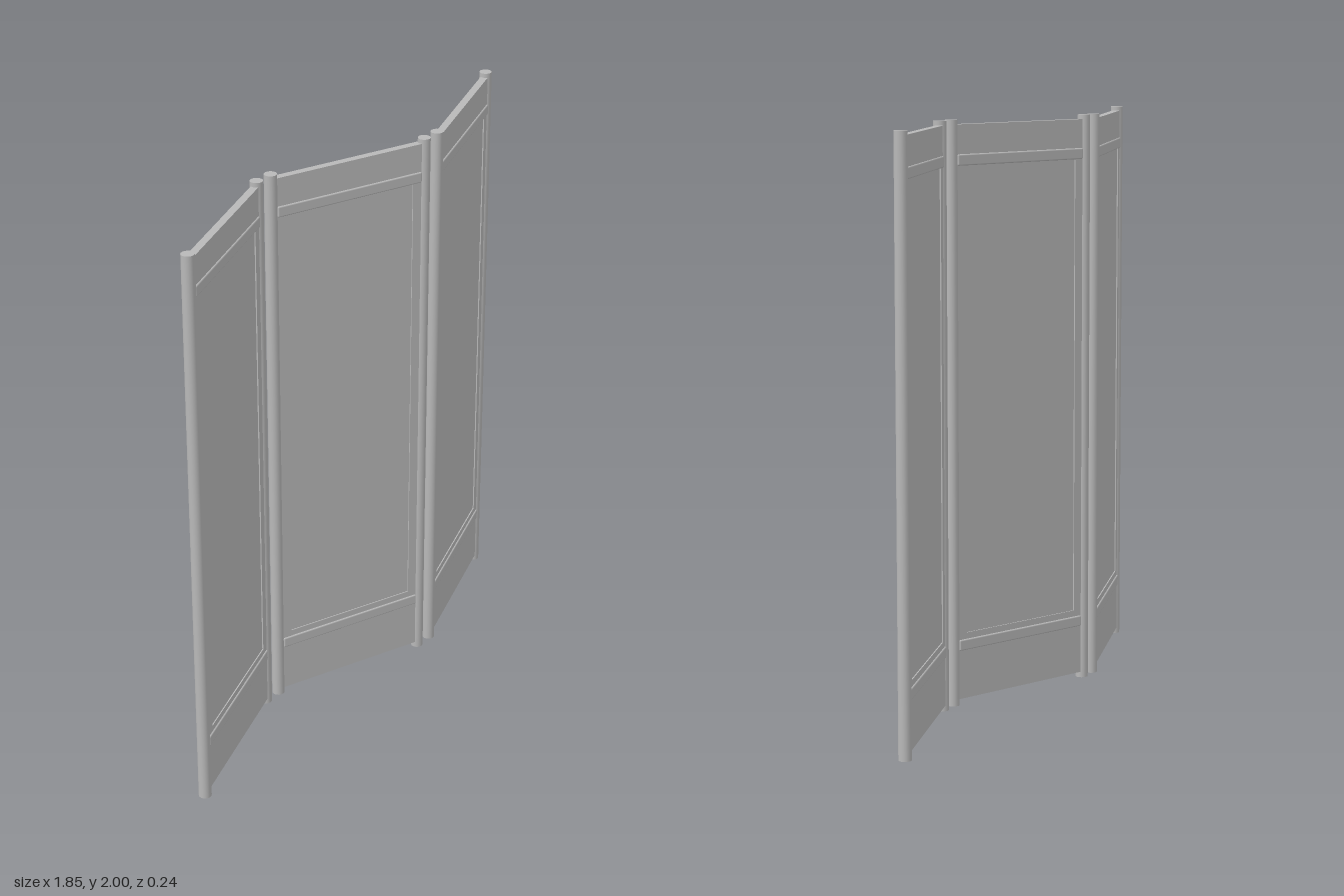
import * as THREE from 'three';
import { RoundedBoxGeometry } from 'three/addons/geometries/RoundedBoxGeometry.js';

const SPAN = 0.59;          // distance between the two posts of a panel
const BOARD = SPAN - 0.034; // width of the board between the posts
const ANGLE = 0.346;        // fold angle

function rectPath(path, x0, y0, x1, y1) {
  path.moveTo(x0, y0);
  path.lineTo(x1, y0);
  path.lineTo(x1, y1);
  path.lineTo(x0, y1);
  path.closePath();
  return path;
}

export function createModel() {
  const model = new THREE.Group();
  model.name = 'foldingScreen';
  const grey = new THREE.MeshStandardMaterial({ color: 0xb8b8b8 });
  grey.name = 'paleGrey';

  // Flat frame with a tall opening
  const outline = rectPath(new THREE.Shape(), -BOARD / 2, 0.02, BOARD / 2, 1.985);
  outline.holes.push(rectPath(new THREE.Path(), -0.245, 0.25, 0.245, 1.85));
  const frameGeo = new THREE.ExtrudeGeometry(outline, { depth: 0.026, bevelEnabled: false });
  frameGeo.translate(0, 0, -0.013);

  const postGeo = new THREE.CylinderGeometry(0.022, 0.022, 2, 16);
  const insetGeo = new THREE.BoxGeometry(0.5, 1.61, 0.018);
  const railGeo = new RoundedBoxGeometry(BOARD, 0.038, 0.036, 2, 0.005);

  function add(parent, name, geometry, x, y) {
    const mesh = new THREE.Mesh(geometry, grey);
    mesh.name = name;
    mesh.position.set(x, y, 0);
    parent.add(mesh);
  }

  // Three panels, folded alternately
  [['rightPanel', -0.6275, 1], ['middlePanel', -0.0025, -1], ['leftPanel', 0.6225, 1]].forEach(([name, x, fold]) => {
    const panel = new THREE.Group();
    panel.name = name;
    panel.position.x = x + 0.0025;
    panel.rotation.y = fold * ANGLE;
    add(panel, 'frame', frameGeo, 0, 0);
    add(panel, 'insetPanel', insetGeo, 0, 1.05);
    add(panel, 'upperRail', railGeo, 0, 1.867);
    add(panel, 'lowerRail', railGeo, 0, 0.209);
    for (const side of [-1, 1]) add(panel, 'post', postGeo, side * SPAN / 2, 1);
    model.add(panel);
  });
  return model;
}
